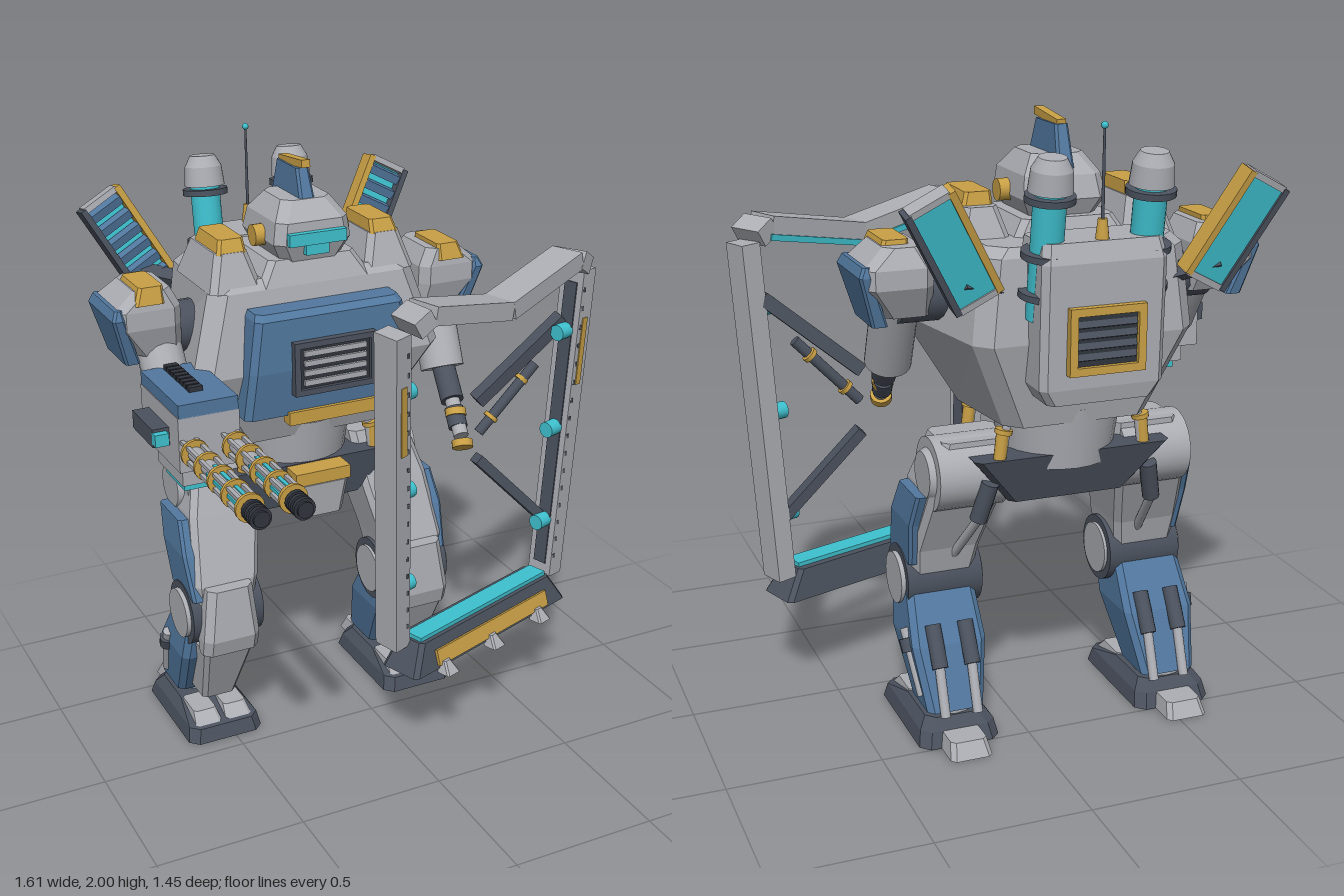
import * as THREE from 'three';

const mat = (name, color) => { const m = new THREE.MeshStandardMaterial({ color }); m.name = name; return m; };
const V = (p) => new THREE.Vector3(...p);

export function createModel() {
  const grey = mat('armour grey', 0xacaeb4), blue = mat('panel blue', 0x52789f), gold = mat('trim gold', 0xc9a045);
  const cyan = mat('glow cyan', 0x3fc1cf), dark = mat('frame dark', 0x4b525e), black = mat('gun black', 0x30343d);
  const model = new THREE.Group();
  let parent = model;

  const group = (name, pos = [0, 0, 0], rot = [0, 0, 0], under = model) => {
    const g = new THREE.Group();
    g.name = name; g.position.set(...pos); g.rotation.set(...rot);
    under.add(g);
    parent = g;
    return g;
  };
  const add = (name, geo, m, pos = [0, 0, 0], rot = [0, 0, 0]) => {
    const mesh = new THREE.Mesh(geo, m);
    mesh.name = name; mesh.position.set(...pos); mesh.rotation.set(...rot);
    parent.add(mesh);
    return mesh;
  };
  const box = (name, m, size, pos, rot) => add(name, new THREE.BoxGeometry(...size), m, pos, rot);
  // Straight cylinder or cone from a to b
  const rod = (name, m, a, b, r, r2 = r, n = 16) => {
    const A = V(a), B = V(b), d = B.clone().sub(A);
    const mesh = add(name, new THREE.CylinderGeometry(r2, r, d.length(), n), m, A.clone().add(B).multiplyScalar(0.5).toArray());
    mesh.quaternion.setFromUnitVectors(new THREE.Vector3(0, 1, 0), d.normalize());
  };
  // Rectangular bar from a to b; its width follows the hint direction
  const beam = (name, m, a, b, w, depth, hint = [1, 0, 0]) => {
    const A = V(a), B = V(b), y = B.clone().sub(A), len = y.length();
    y.normalize();
    const z = V(hint).cross(y).normalize(), x = y.clone().cross(z);
    const mesh = box(name, m, [w, len, depth], A.add(B).multiplyScalar(0.5).toArray());
    mesh.quaternion.setFromRotationMatrix(new THREE.Matrix4().makeBasis(x, y, z));
  };
  // Faceted solid from stacked sections [y, centre x, half width, z back, z front, back half width]
  const loft = (name, m, levels, s = 1, c = 0.02) => {
    const rings = levels.map(([y, xc, h, z0, z1, hb = h]) => [
      [h - c, z1], [h, z1 - c], [hb, z0 + c], [hb - c, z0], [c - hb, z0], [-hb, z0 + c], [-h, z1 - c], [c - h, z1],
    ].map(([x, z]) => [x + s * xc, y, z]));
    const out = [], top = rings.at(-1), low = rings[0];
    for (let k = 0; k + 1 < rings.length; k++) for (let i = 0; i < 8; i++) {
      const j = (i + 1) % 8, [p, q] = [rings[k], rings[k + 1]];
      out.push(p[i], p[j], q[j], p[i], q[j], q[i]);
    }
    for (let i = 1; i < 7; i++) out.push(top[0], top[i], top[i + 1], low[0], low[i + 1], low[i]);
    const g = new THREE.BufferGeometry();
    g.setAttribute('position', new THREE.Float32BufferAttribute(out.flat(), 3));
    g.computeVertexNormals();
    return add(name, g, m);
  };

  const body = group('body', [-0.15, 0, 0]);

  // Torso and chest
  loft('torso', grey, [[1.06, 0, 0.28, -0.53, -0.14, 0.24], [1.34, 0, 0.44, -0.59, -0.04, 0.36],
    [1.6, 0, 0.36, -0.57, -0.09, 0.33], [1.63, 0, 0.33, -0.55, -0.12, 0.3]], 1, 0.05);
  loft('chestPlate', blue, [[1.2, 0, 0.3, -0.12, 0.005], [1.36, 0, 0.285, -0.1, 0.025], [1.53, 0, 0.26, -0.14, 0.02], [1.55, 0, 0.25, -0.14, 0]]);
  box('grilleBack', black, [0.26, 0.15, 0.02], [0, 1.365, 0.025]);
  for (const s of [-1, 1]) {
    box('grilleSide', dark, [0.02, 0.17, 0.03], [s * 0.135, 1.365, 0.033]);
    box('grilleEdge', dark, [0.29, 0.02, 0.03], [0, 1.365 + s * 0.08, 0.033]);
  }
  for (let i = 0; i < 4; i++) box('grilleSlat', grey, [0.22, 0.018, 0.015], [0, 1.315 + i * 0.033, 0.037]);
  box('chestBar', gold, [0.31, 0.045, 0.05], [0, 1.19, -0.005]);

  // Waist and pelvis
  rod('waist', grey, [0, 0.9, -0.33], [0, 1.1, -0.33], 0.18, 0.21, 24);
  loft('pelvis', dark, [[0.79, 0, 0.2, -0.45, -0.17], [0.95, 0, 0.33, -0.5, -0.14]]);
  loft('pelvisBox', grey, [[0.78, 0, 0.08, -0.16, -0.07], [0.9, 0, 0.1, -0.16, -0.06]]);
  box('pelvisBoxTrim', gold, [0.2, 0.045, 0.08], [0, 0.925, -0.1]);
  for (const s of [-1, 1]) for (const z of [-0.175, -0.47]) {
    rod('waistPiston', grey, [s * 0.24, 0.93, z], [s * 0.21, 1.13, z], 0.014);
    rod('pistonSleeve', gold, [s * 0.245, 0.94, z], [s * 0.235, 1.03, z], 0.02);
    rod('pistonCollar', gold, [s * 0.233, 1.03, z], [s * 0.23, 1.045, z], 0.028);
  }

  // Head
  loft('neckCollar', grey, [[1.6, 0, 0.2, -0.45, -0.09], [1.68, 0, 0.15, -0.42, -0.12]]);
  loft('head', grey, [[1.66, 0, 0.1, -0.38, -0.12], [1.73, 0, 0.135, -0.41, -0.095], [1.8, 0, 0.125, -0.39, -0.1], [1.86, 0, 0.085, -0.34, -0.15]], 1, 0.03);
  box('visor', cyan, [0.2, 0.04, 0.03], [0, 1.75, -0.09]);
  box('visorDrop', cyan, [0.08, 0.04, 0.025], [0, 1.715, -0.095]);
  loft('headFin', blue, [[1.82, 0, 0.028, -0.39, -0.14], [1.95, 0, 0.022, -0.35, -0.19]], 1, 0.008);
  box('finCap', gold, [0.03, 0.025, 0.18], [0, 1.96, -0.255], [-0.1, 0, 0]);
  for (const s of [-1, 1]) rod('ear', gold, [s * 0.12, 1.74, -0.23], [s * 0.165, 1.74, -0.23], 0.035);

  // Backpack, vent and antenna
  loft('backpack', grey, [[1.17, 0, 0.17, -0.68, -0.5], [1.22, 0, 0.2, -0.69, -0.5], [1.6, 0, 0.2, -0.7, -0.5], [1.66, 0, 0.19, -0.68, -0.5]]);
  box('ventBack', black, [0.2, 0.16, 0.01], [0, 1.37, -0.7]);
  for (const s of [-1, 1]) {
    box('ventSide', gold, [0.025, 0.2, 0.03], [s * 0.11, 1.37, -0.705]);
    box('ventEdge', gold, [0.245, 0.025, 0.03], [0, 1.37 + s * 0.09, -0.705]);
  }
  for (let i = 0; i < 4; i++) box('ventSlat', dark, [0.19, 0.02, 0.012], [0, 1.32 + i * 0.033, -0.705], [0.4, 0, 0]);
  rod('antenna', dark, [0, 1.64, -0.655], [0, 1.985, -0.655], 0.006, 0.004, 8);
  rod('antennaBase', gold, [0, 1.65, -0.655], [0, 1.72, -0.655], 0.022, 0.014);
  add('antennaTip', new THREE.SphereGeometry(0.011, 12, 8), cyan, [0, 1.989, -0.655]);

  for (const s of [-1, 1]) {
    parent = body;
    // Exhaust stacks
    const at = (t) => [s * 0.16, 1.42 + t * 0.4, -0.59 - t * 0.055];
    rod('exhaustTube', cyan, at(0), at(1), 0.05, 0.05, 24);
    rod('exhaustCap', grey, at(0.97), at(1.13), 0.068, 0.062, 24);
    rod('exhaustTop', grey, at(1.13), at(1.22), 0.062, 0.042, 24);
    for (const t of [0.2, 0.5, 0.92]) rod('exhaustRing', dark, at(t - 0.025), at(t + 0.025), 0.076, 0.076, 24);

    // Pads on top of the torso
    loft('torsoPad', grey, [[1.6, 0.27, 0.09, -0.43, -0.1], [1.72, 0.27, 0.055, -0.38, -0.14]], s);
    loft('torsoPadCap', gold, [[1.715, 0.27, 0.05, -0.35, -0.14], [1.76, 0.265, 0.042, -0.34, -0.16]], s, 0.01);

    // Shoulder
    rod('shoulderJoint', dark, [s * 0.3, 1.45, -0.3], [s * 0.52, 1.45, -0.3], 0.085);
    loft('shoulder', grey, [[1.4, 0.5, 0.08, -0.38, -0.2], [1.5, 0.54, 0.11, -0.43, -0.17], [1.56, 0.54, 0.11, -0.43, -0.17], [1.62, 0.52, 0.06, -0.4, -0.18]], s, 0.03);
    loft('shoulderPad', gold, [[1.58, 0.54, 0.05, -0.36, -0.165], [1.635, 0.53, 0.04, -0.35, -0.18]], s, 0.01);
    loft('shoulderPlate', blue, [[1.38, 0.595, 0.025, -0.39, -0.2], [1.54, 0.645, 0.02, -0.42, -0.165], [1.57, 0.64, 0.012, -0.41, -0.18]], s, 0.008);

    // Leg: hip, thigh, knee
    group('leg', [0, 0, 0], [0, 0, 0], body);
    rod('hip', grey, [s * 0.2, 0.875, -0.33], [s * 0.43, 0.875, -0.33], 0.12, 0.12, 28);
    rod('hipCap', grey, [s * 0.43, 0.875, -0.33], [s * 0.45, 0.875, -0.33], 0.085, 0.075, 28);
    loft('thigh', grey, [[0.48, 0.36, 0.1, -0.27, -0.08], [0.6, 0.355, 0.115, -0.3, -0.07], [0.82, 0.32, 0.125, -0.4, -0.15], [0.99, 0.29, 0.11, -0.4, -0.22]], s);
    loft('thighPanel', blue, [[0.55, 0.455, 0.025, -0.28, -0.07], [0.7, 0.46, 0.03, -0.32, -0.12], [0.81, 0.45, 0.03, -0.365, -0.18]], s, 0.01);
    rod('thighPiston', dark, [s * 0.27, 0.87, -0.46], [s * 0.3, 0.74, -0.43], 0.028);
    rod('thighPistonRod', grey, [s * 0.3, 0.74, -0.43], [s * 0.33, 0.56, -0.27], 0.015);
    rod('knee', dark, [s * 0.23, 0.47, -0.175], [s * 0.485, 0.47, -0.175], 0.112, 0.112, 28);
    rod('kneeCap', grey, [s * 0.22, 0.47, -0.175], [s * 0.5, 0.47, -0.175], 0.086, 0.086, 28);
    loft('kneeGuard', grey, [[0.36, 0.365, 0.1, -0.1, -0.02], [0.42, 0.365, 0.1, -0.11, -0.003], [0.6, 0.36, 0.08, -0.1, -0.02]], s, 0.025);
    // Calf, its pistons, ankle and foot
    loft('calf', blue, [[0.1, 0.38, 0.095, -0.455, -0.27], [0.3, 0.375, 0.125, -0.38, -0.14], [0.47, 0.37, 0.115, -0.27, -0.1]], s);
    loft('shin', grey, [[0.13, 0.375, 0.06, -0.28, -0.14], [0.37, 0.37, 0.09, -0.16, -0.03]], s, 0.015);
    box('shinTrim', gold, [0.05, 0.015, 0.02], [s * 0.375, 0.12, -0.19]);
    for (const d of [-0.055, 0.055]) {
      rod('calfPiston', dark, [s * 0.37 + d, 0.36, -0.345], [s * 0.37 + d, 0.24, -0.42], 0.026);
      rod('calfPistonRod', grey, [s * 0.37 + d, 0.25, -0.41], [s * 0.37 + d, 0.09, -0.47], 0.016);
    }
    rod('sidePiston', grey, [s * 0.5, 0.34, -0.29], [s * 0.475, 0.14, -0.39], 0.018);
    rod('sidePistonCollar', dark, [s * 0.5, 0.31, -0.305], [s * 0.495, 0.27, -0.325], 0.026);
    rod('ankle', grey, [s * 0.38, 0.05, -0.36], [s * 0.38, 0.12, -0.36], 0.085);
    loft('sole', dark, [[0, 0.38, 0.135, -0.5, -0.06], [0.05, 0.38, 0.125, -0.48, -0.075], [0.085, 0.38, 0.1, -0.45, -0.22]], s, 0.03);
    loft('heel', grey, [[0, 0.38, 0.07, -0.6, -0.47], [0.05, 0.38, 0.06, -0.57, -0.47]], s, 0.015);
    for (const d of [-0.055, 0.055]) loft('toe', grey, [[0.04, 0.38 + d, 0.05, -0.25, -0.075], [0.09, 0.38 + d, 0.04, -0.25, -0.13]], s, 0.01);

    // Louvred panel behind the shoulder
    group('backPanel', [s * 0.45, 1.65, -0.62], [-0.2, 0, -s * 0.5], body);
    box('panelPlate', cyan, [0.13, 0.35, 0.02], [0, 0, -0.015]);
    box('panelInnerRail', gold, [0.022, 0.36, 0.065], [-s * 0.07, 0, 0]);
    box('panelOuterRail', dark, [0.02, 0.36, 0.065], [s * 0.07, 0, 0]);
    for (const e of [-1, 1]) box('panelEnd', grey, [0.13, 0.02, 0.06], [0, e * 0.175, 0]);
    for (let i = 0; i < 6; i++) box('panelLouvre', blue, [0.12, 0.03, 0.03], [0, -0.14 + i * 0.056, 0.01], [0.4, 0, 0]);
    parent = body;
    beam('panelBracket', dark, [s * 0.25, 1.5, -0.53], [s * 0.42, 1.55, -0.6], 0.05, 0.05);
  }

  // Gun arm on the right
  group('gunArm', [-0.49, 1.23, 0], [0, 0, 0], body);
  rod('upperArm', grey, [0, 0.2, -0.27], [0, 0.03, -0.16], 0.075);
  box('forearm', grey, [0.2, 0.18, 0.33], [0, 0.01, 0.005]);
  box('forearmTop', blue, [0.195, 0.045, 0.33], [0, 0.12, 0.005]);
  for (let i = 0; i < 8; i++) box('topRidge', black, [0.045, 0.02, 0.022], [-0.005, 0.148, -0.13 + i * 0.029]);
  box('underBox', grey, [0.15, 0.08, 0.22], [0, -0.11, 0.01]);
  box('underGlow', cyan, [0.12, 0.03, 0.16], [0, -0.165, 0.01]);
  box('sidePod', dark, [0.055, 0.06, 0.18], [-0.128, 0.015, 0.0]);
  box('sidePodGlow', cyan, [0.045, 0.04, 0.03], [-0.133, 0.015, 0.1]);
  for (const x of [-0.067, 0.067]) {
    rod('barrel', grey, [x, 0, 0.15], [x, 0, 0.66], 0.024);
    for (const k of [0, 1, 2, 3]) {
      const a = k * Math.PI / 2, u = Math.cos(a), v = Math.sin(a);
      box('barrelGlow', cyan, [0.012, 0.012, 0.25], [x + u * 0.022, v * 0.022, 0.5]);
      box('barrelSlat', grey, [0.012, 0.012, 0.46], [x + (u - v) * 0.023, (u + v) * 0.023, 0.4]);
    }
    for (let i = 0; i < 5; i++) rod('barrelRing', gold, [x, 0, 0.21 + i * 0.105], [x, 0, 0.222 + i * 0.105], 0.045);
    rod('muzzle', black, [x, 0, 0.64], [x, 0, 0.725], 0.025);
    for (let i = 0; i < 3; i++) rod('muzzleRing', black, [x, 0, 0.653 + i * 0.025], [x, 0, 0.667 + i * 0.025], 0.034);
  }

  // Shield arm on the left
  group('shieldArm');
  rod('upperArm', grey, [0.36, 1.46, -0.28], [0.35, 1.2, -0.15], 0.075, 0.075, 24);
  rod('elbow', dark, [0.35, 1.22, -0.15], [0.33, 1.12, -0.04], 0.04);
  rod('forearmRod', grey, [0.33, 1.12, -0.04], [0.31, 1.03, 0.06], 0.026);
  rod('forearmSleeve', dark, [0.325, 1.1, -0.02], [0.315, 1.05, 0.03], 0.033);
  for (const t of [0, 1]) rod('forearmRing', gold, [0.325 - t * 0.02, 1.1 - t * 0.08, -0.01 + t * 0.085], [0.32 - t * 0.02, 1.08 - t * 0.08, 0.005 + t * 0.085], 0.036);
  beam('upperStrut', dark, [0.39, 1.13, 0.02], [0.7, 1.39, 0.05], 0.045, 0.045);
  rod('strutPiston', dark, [0.39, 1.02, 0.04], [0.6, 1.24, 0.05], 0.018);
  for (const t of [0.2, 0.75]) rod('strutRing', gold, [0.39 + t * 0.21, 1.02 + t * 0.22, 0.04], [0.4 + t * 0.21, 1.03 + t * 0.22, 0.04], 0.026);
  beam('lowerStrut', dark, [0.39, 0.92, 0.03], [0.66, 0.64, 0.05], 0.035, 0.045);

  // Open shield frame: posts with gold strips and glowing knobs
  group('shield');
  const along = [0.943, 0, -0.333];
  const posts = [[[-0.12, 1.57, 0.375], [-0.06, 0.43, 0.275], 1], [[0.75, 1.57, 0.065], [0.675, 0.43, 0.055], -1]];
  for (const [a, b, s] of posts) {
    const p = (t, u = 0, w = 0) => V(a).lerp(V(b), t).add(V([u * 0.943 + w * 0.333, 0, -u * 0.333 + w * 0.943])).toArray();
    beam('post', grey, p(0), p(1), 0.065, 0.095, along);
    beam('postLiner', dark, p(0.04, s * 0.03), p(0.96, s * 0.03), 0.015, 0.05, along);
    beam('postGold', gold, p(0.15, 0, 0.047), p(0.36, 0, 0.047), 0.025, 0.008, along);
    for (let i = 0; i < 16; i++) box('postRivet', dark, [0.008, 0.016, 0.008], p(0.06 + i * 0.058, s * 0.02, 0.046));
    for (const t of [0.19, 0.5, 0.81]) rod('postKnob', cyan, p(t, s * 0.03), p(t, s * 0.085), 0.028);
  }
  // Bent top bar
  const top = [[-0.07, 1.58, 0.37], [-0.01, 1.615, 0.36], [0.33, 1.545, 0.25], [0.68, 1.62, 0.1], [0.73, 1.585, 0.07]];
  for (let i = 0; i < 4; i++) {
    const [a, b] = [top[i], top[i + 1]];
    beam('topBar', grey, a, b, 0.06, 0.12, [0, 1, 0]);
    if (i % 3) beam('topGlow', cyan, [a[0], a[1] - 0.035, a[2] - 0.03], [b[0], b[1] - 0.035, b[2] - 0.03], 0.02, 0.08, [0, 1, 0]);
  }
  // Bottom bar with teeth
  group('shieldFoot', [0.31, 0, 0.2], [0, 0.34, 0]);
  loft('bottomBar', dark, [[0.35, 0, 0.4, -0.08, 0.08], [0.45, 0, 0.34, -0.06, 0.05]], 1, 0.015);
  box('bottomGlow', cyan, [0.66, 0.015, 0.07], [0, 0.457, 0]);
  box('bottomGold', gold, [0.58, 0.055, 0.02], [0, 0.387, 0.07], [-0.29, 0, 0]);
  for (const x of [-0.26, -0.02, 0.23]) loft('tooth', grey, [[0.335, x, 0.03, 0.07, 0.125], [0.375, x, 0.015, 0.06, 0.095]], 1, 0.006);

  return model;
}
